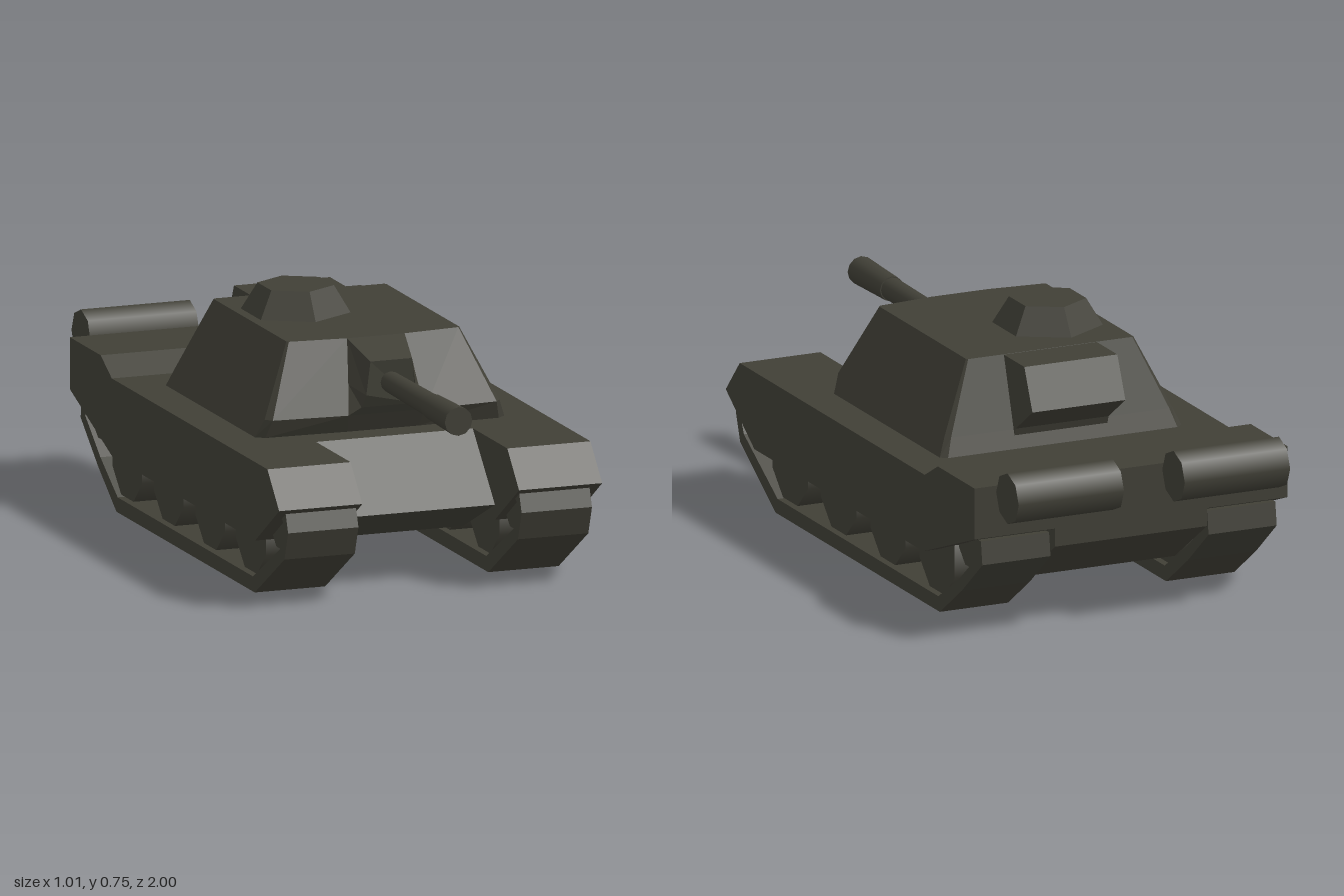
import * as THREE from 'three';

const olive = new THREE.MeshStandardMaterial({ color: 0x403f36 });
olive.name = 'darkOlive';

export function createModel() {
  const tank = new THREE.Group();
  tank.name = 'tank';

  const add = (name, geometry, x = 0, y = 0, z = 0) => {
    const mesh = new THREE.Mesh(geometry, olive);
    mesh.name = name;
    mesh.position.set(x, y, z);
    tank.add(mesh);
    return mesh;
  };

  // Side profile of [z, y] points, extruded across x and centred
  const slab = (points, width, hole) => {
    const shape = new THREE.Shape(points.map(p => new THREE.Vector2(...p)));
    if (hole) shape.holes.push(new THREE.Path(hole.map(p => new THREE.Vector2(...p))));
    const g = new THREE.ExtrudeGeometry(shape, { depth: width, bevelEnabled: false });
    return g.translate(0, 0, -width / 2).rotateY(-Math.PI / 2);
  };

  // Flat-shaded skin through counter-clockwise rings, capped at both ends
  const loft = rings => {
    const pos = [];
    const tri = (...corners) => corners.forEach(c => pos.push(...c));
    const n = rings[0].length;
    for (let r = 0; r < rings.length - 1; r++) {
      for (let i = 0; i < n; i++) {
        const j = (i + 1) % n;
        const [a, b, c, d] = [rings[r][i], rings[r][j], rings[r + 1][j], rings[r + 1][i]];
        tri(a, b, c);
        tri(a, c, d);
      }
    }
    const first = rings[0], last = rings[rings.length - 1];
    for (let i = 1; i < n - 1; i++) {
      tri(first[0], first[i + 1], first[i]);
      tri(last[0], last[i], last[i + 1]);
    }
    const g = new THREE.BufferGeometry();
    g.setAttribute('position', new THREE.Float32BufferAttribute(pos, 3));
    g.computeVertexNormals();
    return g;
  };

  // Mirror the +x half of a ring onto -x
  const mirrored = half => [...half, ...half.map(([x, y, z]) => [-x, y, z]).reverse()];

  // Central hull with sloped nose and raised engine deck
  add('hull', slab([
    [0.48, 0.41], [-0.50, 0.41], [-0.59, 0.46], [-0.84, 0.46],
    [-0.84, 0.25], [-0.62, 0.10], [0.40, 0.10], [0.66, 0.22],
  ], 0.49));

  const fender = slab([
    [0.855, 0.305], [0.76, 0.41], [-0.50, 0.41], [-0.59, 0.46],
    [-0.84, 0.46], [-0.84, 0.305], [-0.49, 0.175], [0.66, 0.175],
  ], 0.26);
  const track = slab(
    [[0.58, 0], [0.82, 0.15], [0.85, 0.235], [0.83, 0.29],
      [-0.82, 0.29], [-0.83, 0.22], [-0.69, 0.105], [-0.54, 0]],
    0.22,
    [[0.565, 0.045], [0.795, 0.18], [0.82, 0.235], [0.805, 0.265],
      [-0.79, 0.265], [-0.795, 0.235], [-0.67, 0.135], [-0.53, 0.045]],
  );
  const wheel = (r) => new THREE.CylinderGeometry(r, r, 0.19, 8)
    .rotateY(Math.PI / 8).rotateZ(Math.PI / 2);
  const roadWheel = wheel(0.13), idlerWheel = wheel(0.075);
  const drum = new THREE.CylinderGeometry(0.077, 0.077, 0.34, 8).rotateZ(Math.PI / 2);

  // Running gear, fenders and rear fuel drums on both sides
  for (const [side, s] of [['left', 1], ['right', -1]]) {
    add(side + 'Fender', fender, s * 0.375);
    add(side + 'Track', track, s * 0.365);
    [0.51, 0.18, -0.155, -0.49].forEach((z, i) =>
      add(side + 'RoadWheel' + (i + 1), roadWheel, s * 0.365, 0.17, z));
    add(side + 'FrontIdler', idlerWheel, s * 0.365, 0.235, 0.745);
    add(side + 'RearSprocket', idlerWheel, s * 0.365, 0.25, -0.71);
    add(side + 'FuelDrum', drum, s * 0.268, 0.443, -0.923);
  }

  // Turret: sloped walls with an undercut front
  const turretRing = (y, pts) => mirrored(pts.map(([x, z]) => [x, y, z]));
  add('turret', loft([
    turretRing(0.41, [[0.11, 0.39], [0.365, 0.38], [0.39, 0.36], [0.39, -0.36], [0.37, -0.375]]),
    turretRing(0.465, [[0.12, 0.42], [0.35, 0.402], [0.367, 0.38], [0.367, -0.343], [0.352, -0.357]]),
    turretRing(0.675, [[0.09, 0.33], [0.265, 0.312], [0.27, 0.305], [0.27, -0.285], [0.265, -0.29]]),
  ]));

  // Box-like extension behind the turret
  add('turretBustle', slab([
    [-0.25, 0.674], [-0.43, 0.674], [-0.485, 0.55], [-0.37, 0.47], [-0.35, 0.41], [-0.25, 0.41],
  ], 0.30));

  // Gun mantlet
  add('mantlet', loft([
    mirrored([[0.12, 0.465, 0.42], [0.107, 0.55, 0.384], [0.09, 0.675, 0.33]]),
    mirrored([[0.085, 0.49, 0.435], [0.078, 0.53, 0.455], [0.065, 0.63, 0.455]]),
  ]));

  // Gun barrel and thicker muzzle section
  const tube = (front, back, length) =>
    new THREE.CylinderGeometry(front, back, length, 12).rotateX(Math.PI / 2);
  add('barrel', tube(0.035, 0.031, 0.40), 0, 0.563, 0.62);
  add('muzzle', tube(0.043, 0.038, 0.21), 0, 0.563, 0.895);

  // Six-sided commander's hatch
  const cupola = new THREE.CylinderGeometry(0.113, 0.162, 0.08, 6).toNonIndexed();
  cupola.computeVertexNormals();
  add('cupola', cupola, -0.10, 0.715, -0.06);

  return tank;
}
